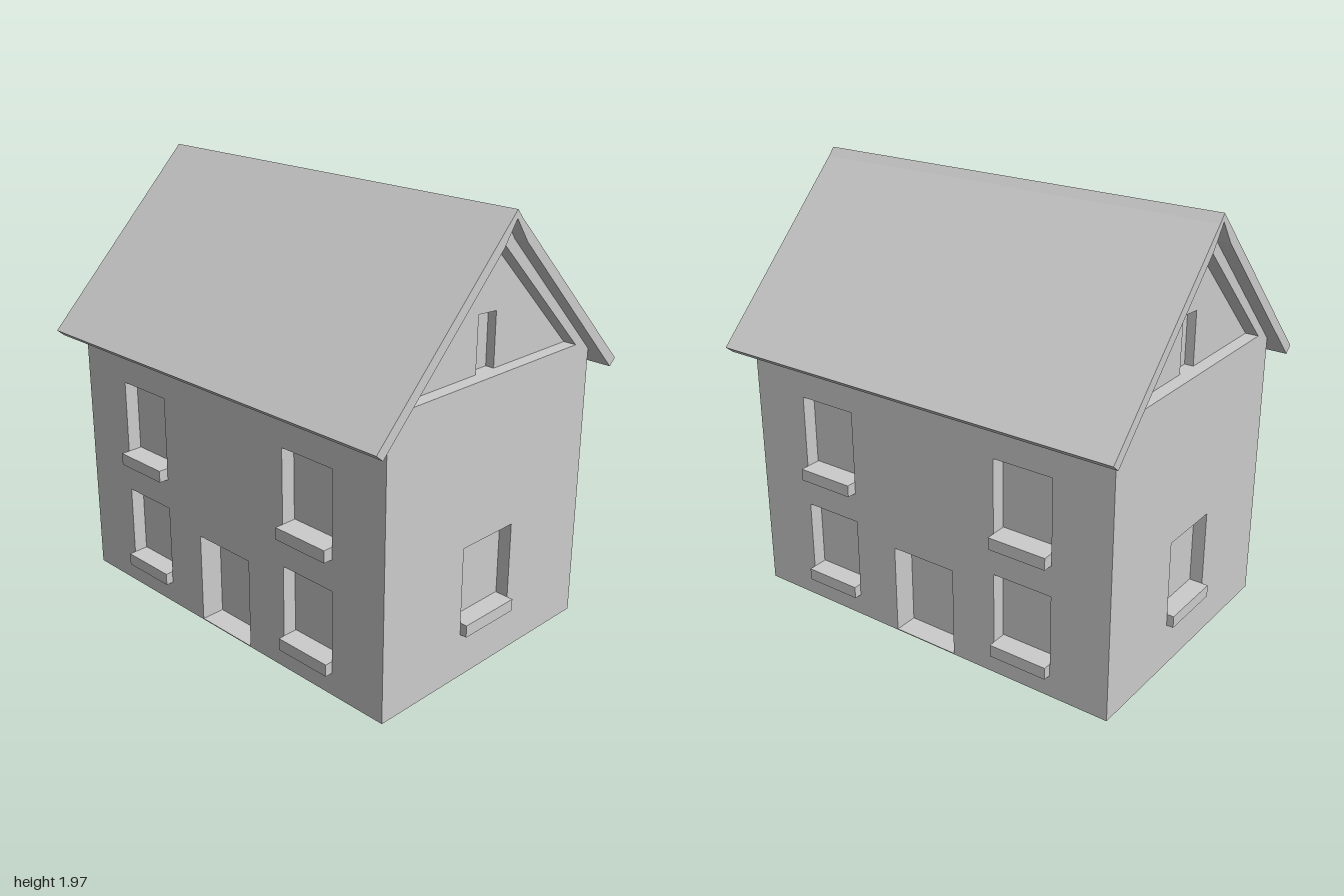
import * as THREE from 'three';

const W = 0.625, D = 0.94;               // half width and half depth of the walls
const END = [0.06, 0.04];                // end wall layers: window recess, attic slit
const SIDE = [0.065, 0.045];             // side wall layers: window recess, door
const SILL = 0.055;

const mat = new THREE.MeshStandardMaterial({ color: 0xcccccc, flatShading: true });

// Height of the roof underside above x
const under = (x) => 1.83 - (x - 0.07) * 1.0234;

const poly = (pts, Type = THREE.Shape) => new Type(pts.map(([x, y]) => new THREE.Vector2(x, y)));
const rect = (x0, x1, y0, y1) => poly([[x0, y0], [x1, y0], [x1, y1], [x0, y1]], THREE.Path);

function add(parent, name, geometry) {
  const mesh = new THREE.Mesh(geometry, mat);
  mesh.name = name;
  parent.add(mesh);
  return mesh;
}

// Slab of the given outline with its front at z = front
function slab(parent, name, shape, holes, front, depth) {
  shape.holes.push(...holes);
  const g = new THREE.ExtrudeGeometry(shape, { depth, bevelEnabled: false });
  return add(parent, name, g.translate(0, 0, front - depth));
}

// Gabled outline that meets the underside of the roof
const gable = (w) => poly([
  [-w, 0], [w, 0], [w, under(w)], [0.07, 1.83], [0, 1.93], [-0.07, 1.83], [-w, under(w)],
]);

// Window sill reaching from the back of the recess to z = out
function sill(parent, name, x, y, w, back, out) {
  add(parent, name, new THREE.BoxGeometry(w, SILL, out - back))
    .position.set(x, y + SILL / 2, (out + back) / 2);
}

// End wall with a window, a recessed gable and an attic slit
function endWall() {
  const g = new THREE.Group();
  g.name = 'endWall';
  const recess = poly([[-0.53, 1.3], [0.53, 1.3], [0, 1.83]], THREE.Path);
  slab(g, 'endWallFace', gable(W), [rect(-0.157, 0.153, 0.2, 0.6), recess], D, END[0]);
  const slit = poly([[-0.055, 1.3], [0.057, 1.3], [0.057, 1.538], [-0.052, 1.545]], THREE.Path);
  slab(g, 'endWallBacking', gable(W), [slit], D - END[0], END[1]);
  sill(g, 'endWindowSill', -0.002, 0.2, 0.305, D - END[0], 0.97);
  return g;
}

// Long wall, built facing +z, with four windows and a door
function sideWall() {
  const g = new THREE.Group();
  g.name = 'sideWall';
  const half = D - END[0] - END[1], top = under(W);
  // Outline steps around the door opening
  const outline = () => poly([
    [-half, 0], [-0.16, 0], [-0.16, 0.42], [0.16, 0.42], [0.16, 0], [half, 0], [half, top], [-half, top],
  ]);
  const windows = [];
  for (const s of [-1, 1]) {
    for (const [y, h, out] of [[0.1, 0.38, 0.658], [0.62, 0.39, 0.667]]) {
      windows.push(rect(s * 0.52 - 0.142, s * 0.52 + 0.142, y, y + h));
      sill(g, 'sideWindowSill', s * 0.52, y, 0.278, W - SIDE[0], out);
    }
  }
  slab(g, 'sideWallFace', outline(), windows, W, SIDE[0]);
  slab(g, 'sideWallBacking', outline(), [], W - SIDE[0], SIDE[1]);
  // Door threshold
  const depth = SIDE[0] + SIDE[1];
  add(g, 'threshold', new THREE.BoxGeometry(0.32, 0.004, depth)).position.set(0, 0.002, W - depth / 2);
  return g;
}

export function createModel() {
  const model = new THREE.Group();
  model.name = 'house';

  // Inner core closing the backs of all recesses
  const coreD = D - END[0] - END[1];
  slab(model, 'core', gable(W - SIDE[0] - SIDE[1]), [], coreD, 2 * coreD);

  // Matching walls on opposite sides
  for (const turn of [0, Math.PI]) {
    const end = endWall();
    end.rotation.y = turn;
    const side = sideWall();
    side.rotation.y = turn + Math.PI / 2;
    model.add(end, side);
  }

  // Pitched roof with overhanging eaves
  const roof = poly([
    [0, 1.965], [-0.745, 1.205], [-0.71, 1.175], [-0.07, 1.83], [0, 1.93],
    [0.07, 1.83], [0.71, 1.175], [0.745, 1.205], [0.03, 1.93],
  ]);
  slab(model, 'roof', roof, [], 1, 2);

  return model;
}
